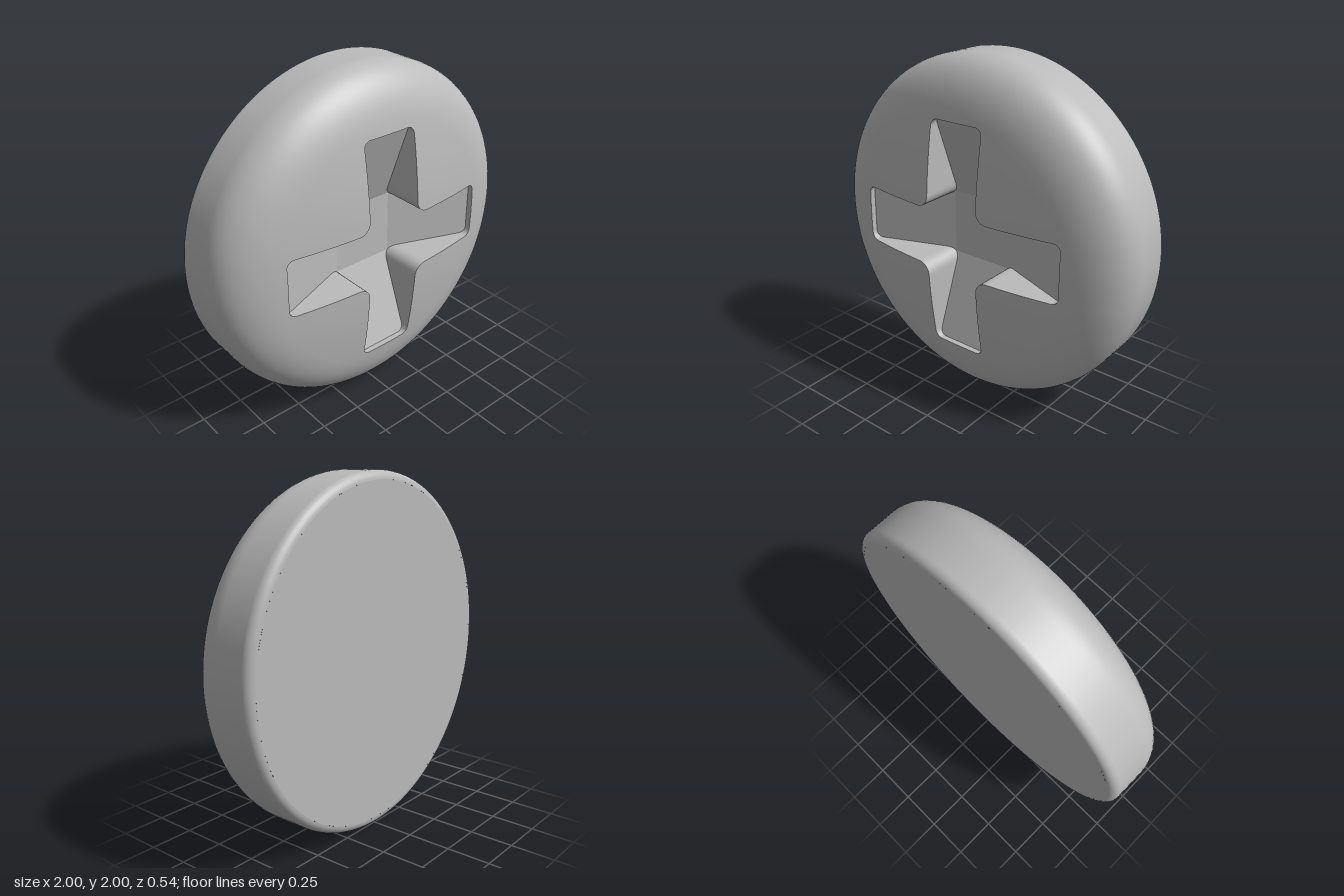
import * as THREE from 'three';
import { toCreasedNormals } from 'three/addons/utils/BufferGeometryUtils.js';

const ARM = 0.67, HALF = 0.17, CORE = 0.19;   // cross recess: arm reach, half width, flat middle
const FLOOR = 0, ARM_END = 0.18;              // recess floor height at the middle and the arm tips
const BACK = -0.275;

const domeZ = (r) => 0.277 - 0.138 * r * r;

// Sloping recess floor, deepest in the middle
function floorZ(x, y) {
  const d = Math.max(Math.abs(x), Math.abs(y));
  return FLOOR + (ARM_END - FLOOR) * Math.max(0, (d - CORE) / (ARM - CORE));
}

// Cross outline with rounded corners, counter-clockwise, finely divided
function crossOutline() {
  const corners = [];
  for (let k = 0; k < 4; k++) {
    for (const [x, y, r] of [[ARM, -HALF, 0.04], [ARM, HALF, 0.04], [HALF, HALF, 0.07]]) {
      const p = new THREE.Vector2(x, y).rotateAround(new THREE.Vector2(), k * Math.PI / 2);
      corners.push({ p, r });
    }
  }
  const rounded = [];
  corners.forEach(({ p, r }, i) => {
    const toPrev = corners[(i + 11) % 12].p.clone().sub(p).normalize();
    const toNext = corners[(i + 1) % 12].p.clone().sub(p).normalize();
    for (let s = 0; s <= 6; s++) {
      const a = s / 6 * Math.PI / 2;
      rounded.push(p.clone()
        .addScaledVector(toPrev, r * (1 - Math.sin(a)))
        .addScaledVector(toNext, r * (1 - Math.cos(a))));
    }
  });
  const points = [];
  rounded.forEach((a, i) => {
    const b = rounded[(i + 1) % rounded.length];
    const n = Math.ceil(a.distanceTo(b) / 0.03);
    for (let s = 0; s < n; s++) points.push(a.clone().lerp(b, s / n));
  });
  return points;
}

// Joins closed rings of [x, y, z] points into a surface
function loft(rings) {
  const n = rings[0].length, index = [];
  for (let j = 0; j < rings.length - 1; j++) {
    for (let i = 0; i < n; i++) {
      const a = j * n + i, b = j * n + (i + 1) % n;
      index.push(a, a + n, b + n, a, b + n, b);
    }
  }
  const geometry = new THREE.BufferGeometry();
  geometry.setAttribute('position', new THREE.Float32BufferAttribute(rings.flat(2), 3));
  geometry.setIndex(index);
  geometry.computeVertexNormals();
  return geometry;
}

export function createModel() {
  const metal = new THREE.MeshStandardMaterial({ color: 0xbbbbbb });
  metal.name = 'grey metal';
  const model = new THREE.Group();
  model.name = 'crossRecessDisc';
  const add = (name, geometry) => {
    const mesh = new THREE.Mesh(geometry, metal);
    mesh.name = name;
    mesh.position.y = 1;
    model.add(mesh);
    return mesh;
  };

  const outline = crossOutline();

  // Domed face around the cross, running on into the side and back fillet
  const rings = [];
  const capR = 0.72;
  for (let j = 0; j <= 6; j++) {
    rings.push(outline.map((p) => {
      const r = THREE.MathUtils.lerp(p.length(), capR, j / 6);
      const q = p.clone().setLength(r);
      return [q.x, q.y, domeZ(r)];
    }));
  }
  const shoulder = new THREE.CubicBezierCurve(
    new THREE.Vector2(capR, domeZ(capR)), new THREE.Vector2(0.87, 0.176),
    new THREE.Vector2(1, 0.1), new THREE.Vector2(1, -0.05)).getPoints(16).slice(1);
  const fillet = [];
  for (let s = 0; s <= 6; s++) {
    const a = s / 6 * Math.PI / 2;
    fillet.push(new THREE.Vector2(0.95 + 0.05 * Math.cos(a), BACK + 0.05 - 0.05 * Math.sin(a)));
  }
  for (const { x: r, y: z } of [...shoulder, ...fillet]) {
    rings.push(outline.map((p) => {
      const q = p.clone().setLength(r);
      return [q.x, q.y, z];
    }));
  }
  add('domedBody', loft(rings));

  // Flat back
  const back = add('back', new THREE.CircleGeometry(0.95, 128));
  back.rotation.y = Math.PI;
  back.position.z = BACK;

  // Recess: sloping floor and upright walls
  const floorRing = (scale) => outline.map((p) => {
    const s = scale(p);
    return [p.x * s, p.y * s, floorZ(p.x * s, p.y * s)];
  });
  const coreScale = (p) => Math.min(1, CORE / Math.max(Math.abs(p.x), Math.abs(p.y)));
  const edge = floorRing(() => 1);
  add('recessFloor', toCreasedNormals(loft([floorRing(() => 0), floorRing(coreScale), edge]), 0.3));
  add('recessWalls', toCreasedNormals(loft([edge, rings[0]]), 0.6));

  return model;
}
